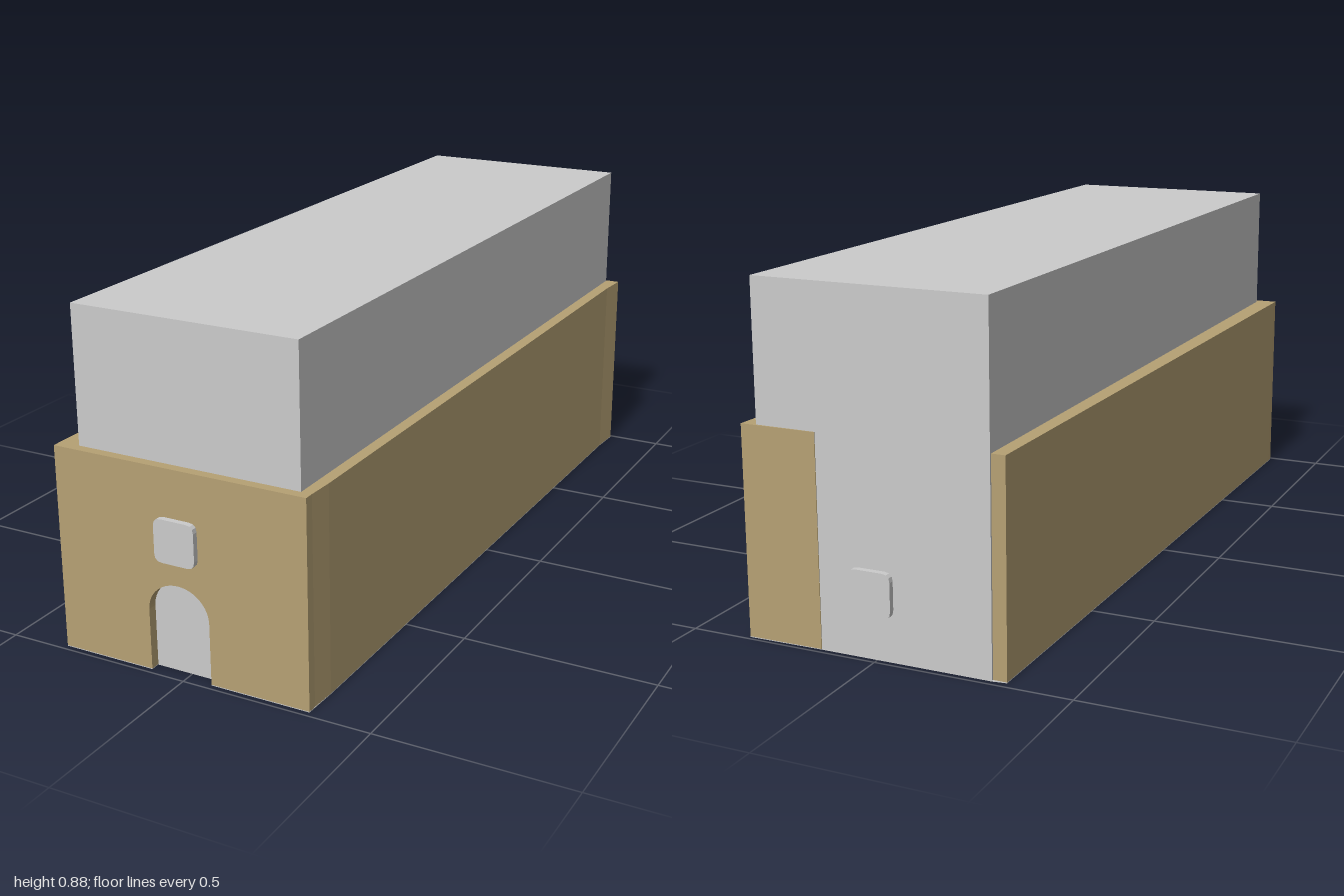
import * as THREE from 'three';

const grey = new THREE.MeshStandardMaterial({ color: 0xcccccc, flatShading: true });
const tan = new THREE.MeshStandardMaterial({ color: 0xb6a174, flatShading: true });

const WALL_TOP = 0.53, BASE = 0.002;

function add(group, name, geometry, material) {
  const mesh = new THREE.Mesh(geometry, material);
  mesh.name = name;
  group.add(mesh);
  return mesh;
}

// Upright prism from a plan outline of [x, z] points
function prism(points, y0, y1) {
  const shape = new THREE.Shape(points.map(([x, z]) => new THREE.Vector2(x, -z)));
  const geo = new THREE.ExtrudeGeometry(shape, { depth: y1 - y0, bevelEnabled: false });
  return geo.rotateX(-Math.PI / 2).translate(0, y0, 0);
}

// Square panel with softened corners, facing along z
function panel(x, y, z0, z1) {
  const h = 0.055, r = 0.02, s = new THREE.Shape();
  s.moveTo(-h + r, -h).lineTo(h - r, -h);
  s.quadraticCurveTo(h, -h, h, -h + r).lineTo(h, h - r);
  s.quadraticCurveTo(h, h, h - r, h).lineTo(-h + r, h);
  s.quadraticCurveTo(-h, h, -h, h - r).lineTo(-h, -h + r);
  s.quadraticCurveTo(-h, -h, -h + r, -h);
  const geo = new THREE.ExtrudeGeometry(s, { depth: z1 - z0, bevelEnabled: false, curveSegments: 3 });
  return geo.translate(x, y, z0);
}

export function createModel() {
  const model = new THREE.Group();
  model.name = 'building';

  // Tall inner block
  const core = new THREE.BoxGeometry(0.603, 0.88 - BASE, 1.945);
  add(model, 'mainBlock', core.translate(0.0065, (0.88 + BASE) / 2, -0.0125), grey);

  // Thin floor, notched at the doorway
  add(model, 'floor', prism([
    [-0.35, 0.985], [-0.098, 0.985], [-0.098, 0.96], [0.07, 0.96], [0.07, 0.985], [0.335, 0.985],
    [0.338, 0.89], [0.342, -0.9], [0.347, -0.99], [0.15, -0.986], [-0.295, -0.985], [-0.33, -0.98],
  ], 0, BASE), grey);

  // Front wall with an arched doorway
  const front = new THREE.Shape();
  front.moveTo(-0.35, BASE).lineTo(-0.098, BASE).lineTo(-0.098, 0.16);
  front.absellipse(-0.014, 0.16, 0.084, 0.078, Math.PI, 0, true);
  front.lineTo(0.07, BASE).lineTo(0.335, BASE).lineTo(0.335, WALL_TOP).lineTo(-0.35, WALL_TOP);
  const frontGeo = new THREE.ExtrudeGeometry(front, { depth: 0.025, bevelEnabled: false, curveSegments: 16 });
  add(model, 'frontWall', frontGeo.translate(0, 0, 0.96), tan);

  // Side walls, slightly out of parallel; the left one wraps round the back corner
  add(model, 'leftWall', prism([
    [0.308, 0.96], [0.335, 0.96], [0.338, 0.89], [0.342, -0.9], [0.347, -0.99],
    [0.15, -0.987], [0.15, -0.98], [0.308, -0.98],
  ], BASE, WALL_TOP), tan);
  add(model, 'rightWall', prism([
    [-0.35, 0.96], [-0.295, 0.96], [-0.295, -0.98], [-0.33, -0.98],
  ], BASE, WALL_TOP), tan);

  // Raised windows
  add(model, 'frontWindow', panel(-0.01, 0.353, 0.98, 1), grey);
  add(model, 'backWindow', panel(0.01, 0.165, -1, -0.98), grey);

  return model;
}
